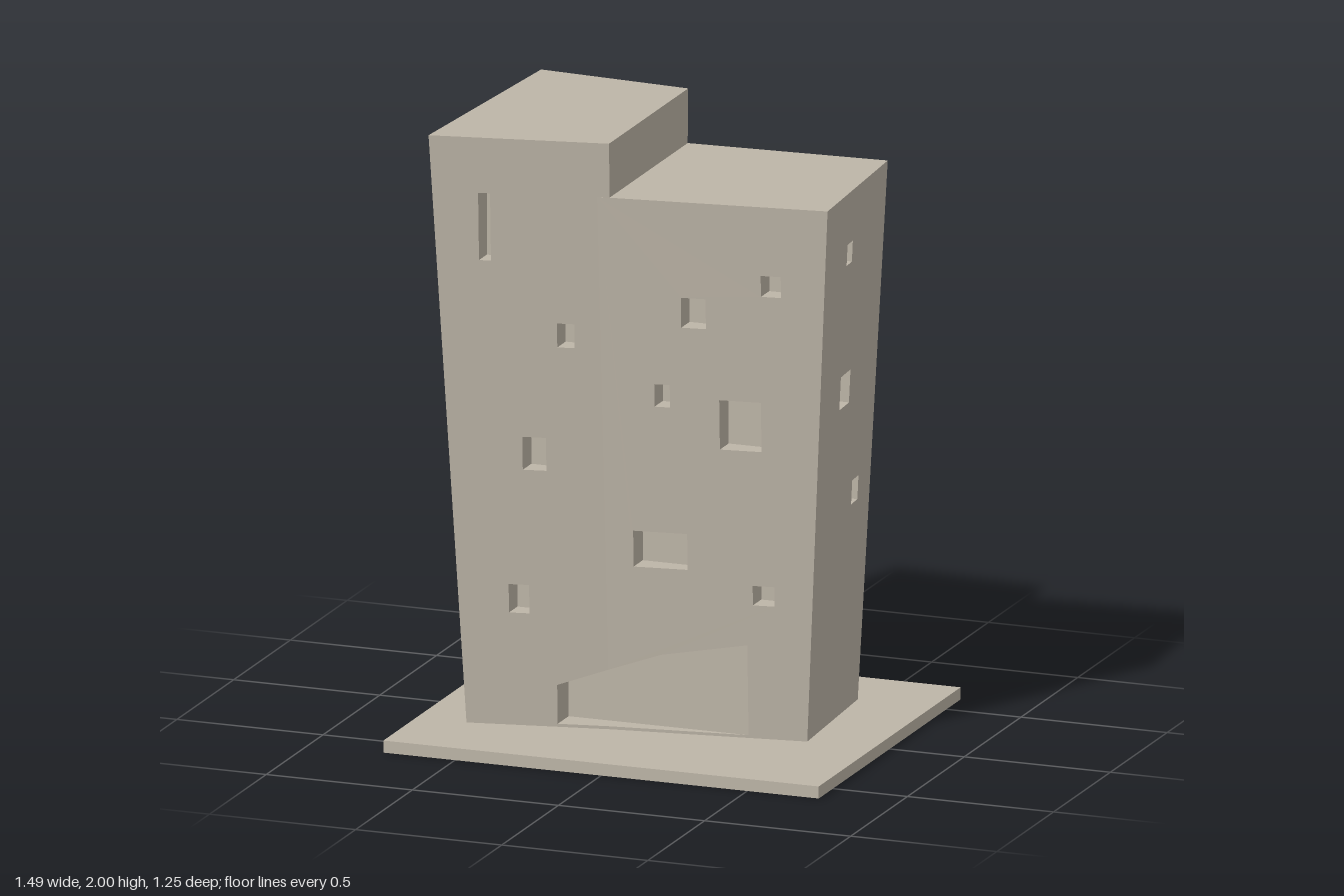
import * as THREE from 'three';

const Y_AXIS = new THREE.Vector3(0, 1, 0);
const BASE = 0.04, LOW = 1.82, HIGH = 2;
const lerp = THREE.MathUtils.lerp;

// A leaning corner edge, bottom point to top point
const edge = (bx, bz, tx, tz, top) => ({
  a: new THREE.Vector3(bx, BASE, bz), b: new THREE.Vector3(tx, top, tz),
});
const EDGES = {
  frontLeft: edge(-0.575, 0.33, -0.67, 0.42, HIGH),
  frontSeam: edge(-0.12, 0.24, -0.137, 0.307, LOW),
  frontRight: edge(0.52, 0.147, 0.61, 0.2, LOW),
  backRight: edge(0.49, -0.375, 0.572, -0.428, LOW),
  backSeam: edge(-0.12, -0.345, -0.1, -0.388, LOW),
  backLeft: edge(-0.53, -0.375, -0.615, -0.43, HIGH),
};

// Local frame of a wall: u to the right, y up, w outward, turned by angle about y
function wallFrame(left, right, angle) {
  const [l, r] = [left, right].map((e) => ({
    a: e.a.clone().applyAxisAngle(Y_AXIS, -angle),
    b: e.b.clone().applyAxisAngle(Y_AXIS, -angle),
  }));
  const at = (e, y) => e.a.clone().lerp(e.b, (y - BASE) / (e.b.y - BASE));
  const w = (u, y) => {
    const p = at(l, y), q = at(r, y);
    return lerp(p.z, q.z, (u - p.x) / (q.x - p.x));
  };
  return { angle, w, L: (y) => [at(l, y).x, y], R: (y) => [at(r, y).x, y] };
}

const vec2 = (pts) => pts.map(([x, y]) => new THREE.Vector2(x, y));
const rect = ([u0, u1, y0, y1]) => [[u0, y0], [u1, y0], [u1, y1], [u0, y1]];

function facets(positions) {
  const g = new THREE.BufferGeometry();
  g.setAttribute('position', new THREE.Float32BufferAttribute(positions, 3));
  g.computeVertexNormals();
  return g;
}

export function createModel() {
  const model = new THREE.Group();
  model.name = 'twinTowerBuilding';
  const stone = new THREE.MeshStandardMaterial({ color: 0xbdb5a7 });
  stone.name = 'warmStone';

  const add = (name, geometry, angle = 0) => {
    const mesh = new THREE.Mesh(geometry, stone);
    mesh.name = name;
    mesh.rotation.y = angle;
    model.add(mesh);
    return mesh;
  };

  // Wall skin with openings, draped on its leaning plane
  function addWall(name, frame, outline, openings = []) {
    const shape = new THREE.Shape(vec2(outline));
    shape.holes = openings.map((o) => new THREE.Path(vec2(rect(o))));
    const g = new THREE.ShapeGeometry(shape).toNonIndexed();
    const p = g.attributes.position;
    for (let i = 0; i < p.count; i++) p.setZ(i, frame.w(p.getX(i), p.getY(i)));
    g.computeVertexNormals();
    add(name, g, frame.angle);
    openings.forEach((o) => addRecess(name + 'Window', rect(o), frame.w, frame.angle, 0.07));
  }

  // Pocket behind an opening: jambs plus an upright back panel
  function addRecess(name, pts, w, angle, depth) {
    const mean = pts.reduce((s, [u, y]) => s + w(u, y), 0) / pts.length;
    const back = mean - depth;
    const pos = [];
    pts.forEach(([u0, y0], i) => {
      const [u1, y1] = pts[(i + 1) % pts.length];
      const a = [u0, y0, w(u0, y0)], b = [u1, y1, w(u1, y1)];
      const c = [u1, y1, back], d = [u0, y0, back];
      pos.push(...a, ...b, ...c, ...a, ...c, ...d);
    });
    for (const tri of THREE.ShapeUtils.triangulateShape(vec2(pts), [])) {
      for (const i of tri) pos.push(...pts[i], back);
    }
    add(name, facets(pos), angle);
  }

  // Flat roof from (x, z) corners listed counter-clockwise seen from above
  function addRoof(name, y, corners) {
    const g = new THREE.ShapeGeometry(new THREE.Shape(vec2(corners.map(([x, z]) => [x, -z]))));
    add(name, g.rotateX(-Math.PI / 2).translate(0, y, 0));
  }

  // Ground slab
  add('baseSlab', new THREE.BoxGeometry(1.49, BASE, 1.25).translate(0, BASE / 2, 0));

  const E = EDGES, stepX = -0.097;
  const tallFront = wallFrame(E.frontLeft, E.frontSeam, 0);
  const lowFront = wallFrame(E.frontSeam, E.frontRight, 0);
  const rightSide = wallFrame(E.frontRight, E.backRight, Math.PI / 2);
  const lowBack = wallFrame(E.backRight, E.backSeam, Math.PI);
  const tallBack = wallFrame(E.backSeam, E.backLeft, Math.PI);
  const leftSide = wallFrame(E.backLeft, E.frontLeft, -Math.PI / 2);

  // Front walls, notched for the entrance that crosses the seam
  const sill = 0.05, seamTop = 0.239;
  const doorLeft = [[-0.285, sill], [-0.285, 0.18]];
  const doorRight = [[0.05, 0.3], [0.33, 0.35], [0.33, sill]];
  addWall('tallFrontWall', tallFront, [
    tallFront.L(BASE), tallFront.R(BASE), tallFront.R(sill), ...doorLeft,
    tallFront.R(seamTop), tallFront.R(LOW), [stepX, LOW], [stepX, HIGH], tallFront.L(HIGH),
  ], [
    [-0.515, -0.477, 1.59, 1.815], [-0.27, -0.215, 1.31, 1.39],
    [-0.385, -0.31, 0.895, 1.005], [-0.435, -0.37, 0.415, 0.51],
  ]);
  addWall('lowFrontWall', lowFront, [
    lowFront.L(BASE), lowFront.R(BASE), lowFront.R(LOW), lowFront.L(LOW),
    lowFront.L(seamTop), ...doorRight, lowFront.L(sill),
  ], [
    [0.39, 0.455, 1.52, 1.59], [0.13, 0.21, 1.4, 1.5], [0.04, 0.09, 1.13, 1.205],
    [0.25, 0.385, 1.0, 1.165], [-0.035, 0.14, 0.59, 0.71], [0.35, 0.42, 0.485, 0.55],
  ]);
  addRecess('entrance', [
    lowFront.L(sill), ...doorRight.slice().reverse(), lowFront.L(seamTop), ...doorLeft.slice().reverse(),
  ], (u, y) => Math.max(tallFront.w(u, y), lowFront.w(u, y)), 0, 0.055);

  // Side and back walls
  const quad = (f, top) => [f.L(BASE), f.R(BASE), f.R(top), f.L(top)];
  addWall('rightWall', rightSide, quad(rightSide, LOW), [
    [0.035, 0.09, 1.575, 1.645], [0.03, 0.13, 1.095, 1.205], [0.205, 0.27, 0.735, 0.815],
  ]);
  addWall('lowBackWall', lowBack, quad(lowBack, LOW));
  addWall('tallBackWall', tallBack, [
    tallBack.L(BASE), tallBack.R(BASE), tallBack.R(HIGH), [-stepX, HIGH], [-stepX, LOW], tallBack.L(LOW),
  ]);
  addWall('leftWall', leftSide, quad(leftSide, HIGH));

  // Roofs and the step between them
  const zf = (y) => tallFront.w(stepX, y), zb = (y) => -tallBack.w(-stepX, y);
  const xz = (e) => [e.b.x, e.b.z];
  addRoof('tallRoof', HIGH, [xz(E.frontLeft), [stepX, zf(HIGH)], [stepX, zb(HIGH)], xz(E.backLeft)]);
  addRoof('lowRoof', LOW, [xz(E.frontSeam), xz(E.frontRight), xz(E.backRight), xz(E.backSeam)]);
  const s = [[LOW, zf(LOW)], [LOW, zb(LOW)], [HIGH, zb(HIGH)], [HIGH, zf(HIGH)]];
  add('roofStep', facets([0, 1, 2, 0, 2, 3].flatMap((i) => [stepX, ...s[i]])));

  return model;
}
